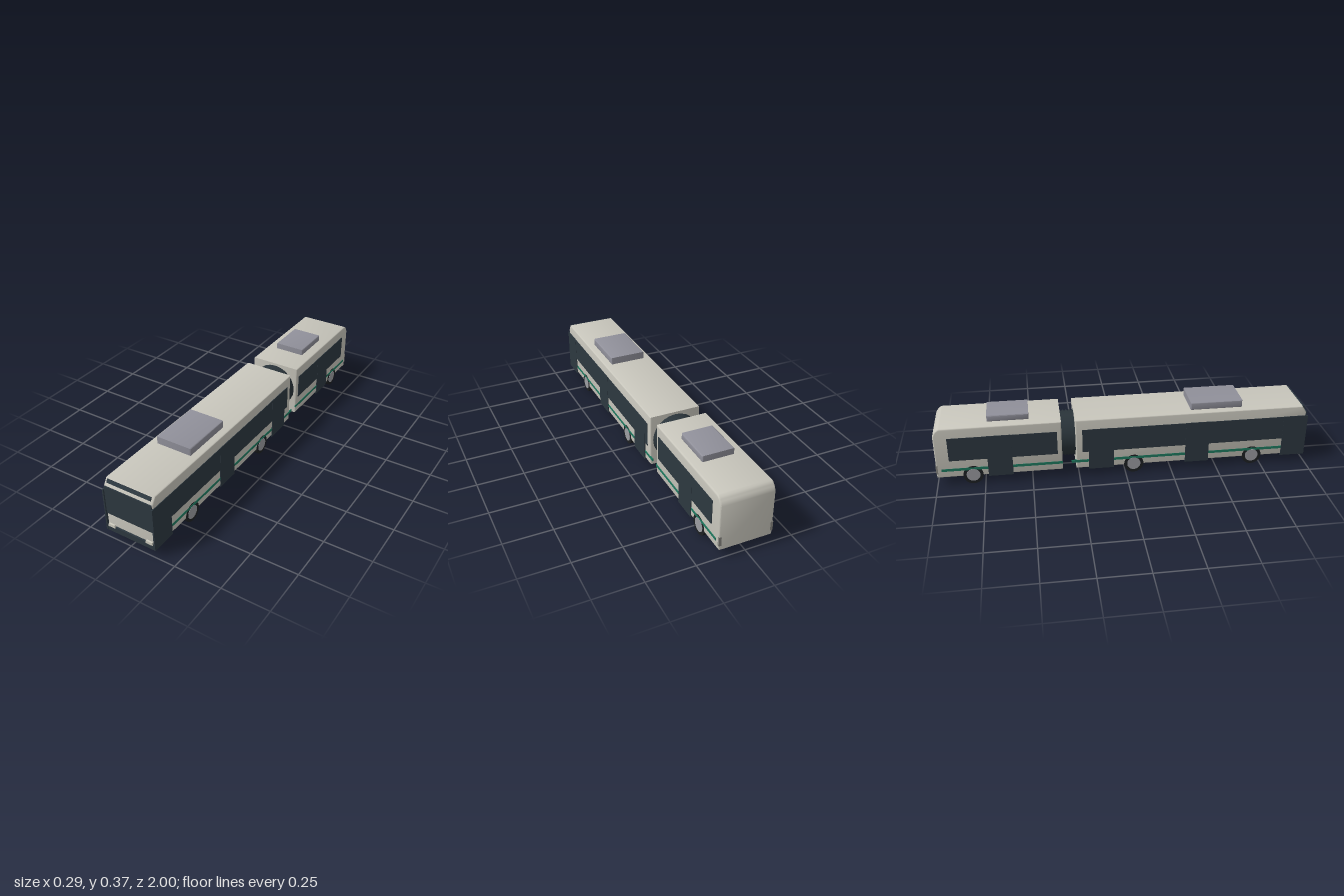
import * as THREE from 'three';
import { toCreasedNormals } from 'three/addons/utils/BufferGeometryUtils.js';

const paint = (name, color) => Object.assign(new THREE.MeshStandardMaterial({ color }), { name });

export function createModel() {
  const bus = new THREE.Group();
  bus.name = 'articulatedBus';

  const shell = paint('warm grey body', 0xc8c6bc);
  const glass = paint('dark glass', 0x2d3840);
  const rubber = paint('black rubber', 0x1d2022);
  const folds = paint('bellows grey', 0x2a343a);
  const green = paint('green stripe', 0x1f7a60);
  const metal = paint('hub grey', 0x9c9da2);
  const unit = paint('roof unit grey', 0x90909a);
  const lamp = paint('headlight', 0xcfcdc0);
  const tail = paint('tail light', 0x8c8b85);

  const add = (name, geometry, material, parent = bus) => {
    const mesh = new THREE.Mesh(geometry, material);
    mesh.name = name;
    parent.add(mesh);
    return mesh;
  };

  // Box given by its limits on each axis
  const block = (name, material, x0, x1, y0, y1, z0, z1) => {
    const mesh = add(name, new THREE.BoxGeometry(Math.abs(x1 - x0), y1 - y0, z1 - z0), material);
    mesh.position.set((x0 + x1) / 2, (y0 + y1) / 2, (z0 + z1) / 2);
    return mesh;
  };

  // Side profile (z, y) extruded across the width, with bevelled edges
  const across = (shape, width, bevel) => {
    const g = new THREE.ExtrudeGeometry(shape, {
      depth: width - 2 * bevel, bevelEnabled: true, bevelSize: bevel,
      bevelThickness: bevel, bevelOffset: -bevel, bevelSegments: 3, curveSegments: 6,
    });
    g.translate(0, 0, -(width - 2 * bevel) / 2);
    g.rotateY(-Math.PI / 2);
    return toCreasedNormals(g, 0.6);
  };

  // Front car: raked brow above the windscreen
  const front = new THREE.Shape();
  front.moveTo(-0.265, 0.047);
  front.lineTo(0.988, 0.047);
  front.lineTo(0.988, 0.296);
  front.lineTo(0.965, 0.333);
  front.lineTo(-0.265, 0.333);
  front.closePath();
  add('frontBody', across(front, 0.28, 0.007), shell);

  // Rear car: rounded upper tail
  const rear = new THREE.Shape();
  rear.moveTo(-0.998, 0.047);
  rear.lineTo(-0.338, 0.047);
  rear.lineTo(-0.338, 0.333);
  rear.lineTo(-0.96, 0.333);
  rear.quadraticCurveTo(-0.985, 0.328, -0.998, 0.29);
  rear.closePath();
  add('rearBody', across(rear, 0.28, 0.007), shell);

  // Round bellows between the cars
  const ribs = [];
  for (let i = 0; i <= 10; i++) ribs.push(new THREE.Vector2(i % 2 ? 0.125 : 0.117, -0.045 + i * 0.009));
  const bellows = add('bellows', new THREE.LatheGeometry(ribs, 24), folds);
  bellows.rotation.x = Math.PI / 2;
  bellows.position.set(0, 0.195, -0.301);

  // Windows, doors and stripes on both sides
  const doors = [[0.865, 0.999], [0.326, 0.455], [-0.198, -0.064], [-0.73, -0.6]];
  const windows = [[-0.23, 0.995], [-0.928, -0.362]];
  const stripes = [[-0.29, 0.865], [-0.972, -0.338]];
  for (const s of [1, -1]) {
    const side = s > 0 ? 'left' : 'right';
    for (const [a, b] of windows) block(side + 'Windows', glass, s * 0.136, s * 0.1425, 0.145, 0.277, a, b);
    for (const [a, b] of doors) block(side + 'Door', glass, s * 0.136, s * 0.1435, 0.04, 0.278, a, b);
    for (const [a, b] of stripes) block(side + 'Stripe', green, s * 0.136, s * 0.1415, 0.083, 0.098, a, b);
    block(side + 'TailLight', tail, s * 0.127, s * 0.1405, 0.07, 0.12, -1, -0.99);

    // Headlight: a flat trapezoid
    const light = new THREE.Shape([[0.089, 0.065], [0.13, 0.065], [0.127, 0.081], [0.092, 0.081]]
      .map(([x, y]) => new THREE.Vector2(s * x, y)));
    const headlight = add(side + 'Headlight',
      new THREE.ExtrudeGeometry(light, { depth: 0.009, bevelEnabled: false }), lamp);
    headlight.position.z = 0.991;
  }

  // Front end
  block('windscreen', glass, -0.135, 0.135, 0.138, 0.297, 0.984, 0.993);
  block('bumper', glass, -0.142, 0.142, 0.038, 0.07, 0.97, 0.997);
  const sign = block('destinationPanel', glass, -0.125, 0.125, 0.312, 0.33, 0.972, 0.98);
  sign.rotation.x = -Math.atan2(0.023, 0.037);

  // Roof units with bevelled edges
  const roofUnit = (name, halfWidth, top, z0, z1) => {
    const shape = new THREE.Shape([[z0, 0.331], [z1, 0.331], [z1, top], [z0, top]]
      .map(([z, y]) => new THREE.Vector2(z, y)));
    add(name, across(shape, halfWidth * 2, 0.006), unit);
  };
  roofUnit('frontRoofUnit', 0.1, 0.373, 0.357, 0.638);
  roofUnit('rearRoofUnit', 0.085, 0.366, -0.72, -0.503);

  // Wheels: single in front, doubled on the other axles
  const disc = (name, radius, width, material, x, parent) => {
    const mesh = add(name, new THREE.CylinderGeometry(radius, radius, width, 24), material, parent);
    mesh.rotation.z = Math.PI / 2;
    mesh.position.x = x;
  };
  for (const [z, doubled] of [[0.7, false], [0.045, true], [-0.81, true]]) {
    for (const s of [1, -1]) {
      const wheel = new THREE.Group();
      wheel.name = 'wheel';
      wheel.position.set(0, 0.053, z);
      disc('tyre', 0.053, 0.033, rubber, s * 0.1242, wheel);
      disc('hub', 0.036, 0.012, metal, s * 0.1365, wheel);
      if (doubled) disc('innerTyre', 0.05, 0.034, rubber, s * 0.09, wheel);
      bus.add(wheel);
    }
  }
  return bus;
}
